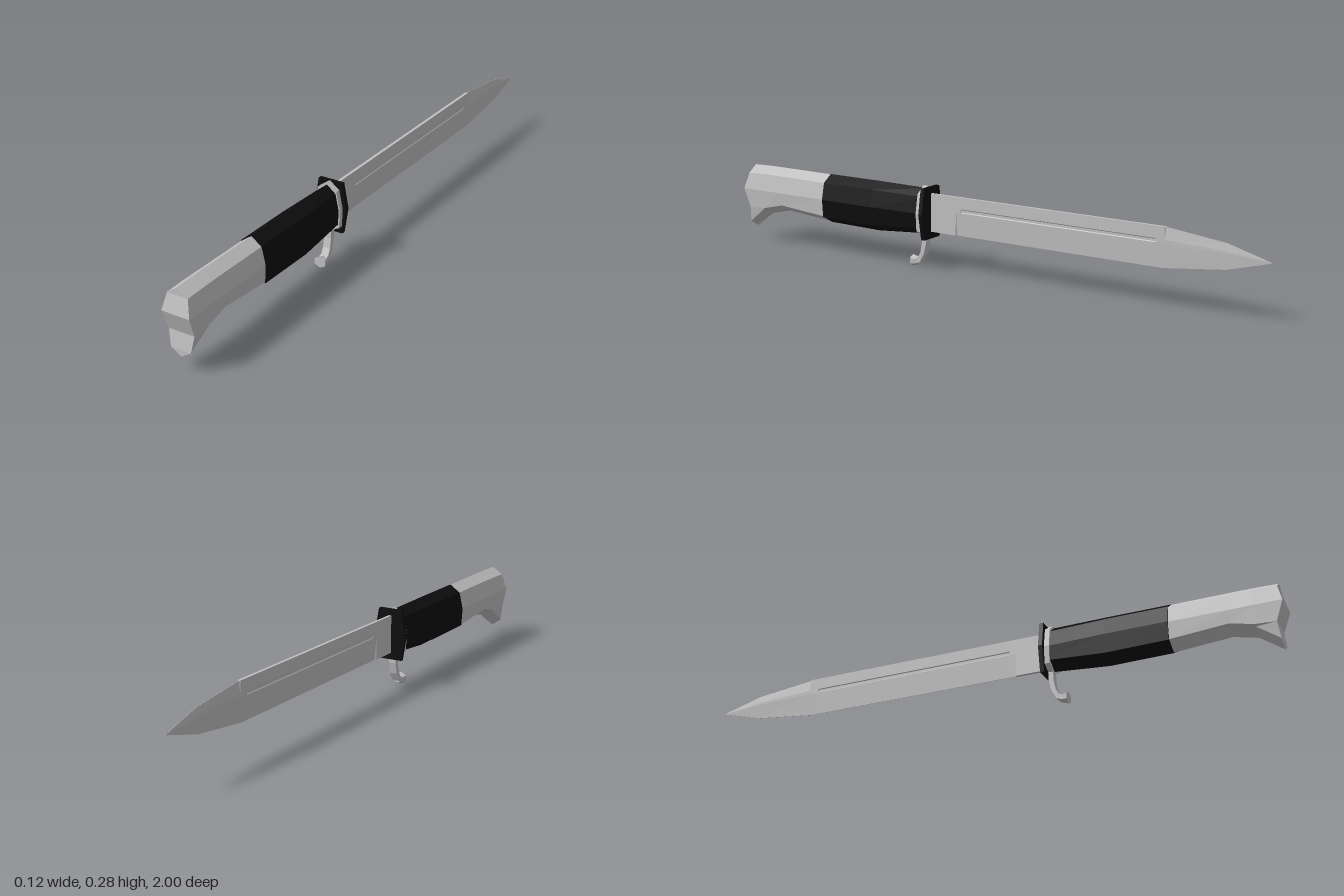
import * as THREE from 'three';

const steel = new THREE.MeshStandardMaterial({ color: 0xc0c0c0 });
steel.name = 'steel';
const black = new THREE.MeshStandardMaterial({ color: 0x0d0d0d });
black.name = 'black';

// Skins mirrored sections running from +z to -z; each lists [x, y, z] from top to bottom of one half.
function loft(sections) {
  const pos = [];
  const rings = sections.map(half => [
    ...half.map(([x, y, z]) => new THREE.Vector3(-x, y, z)),
    ...half.slice().reverse().map(([x, y, z]) => new THREE.Vector3(x, y, z)),
  ]);
  const n = rings[0].length;
  const tri = (a, b, c) => {
    const area = b.clone().sub(a).cross(c.clone().sub(a)).length();
    if (area > 1e-9) for (const p of [a, b, c]) pos.push(p.x, p.y, p.z);
  };
  const quad = (a, b, c, d) => { tri(a, b, c); tri(a, c, d); };
  for (let s = 0; s < rings.length - 1; s++) {
    for (let i = 0; i < n; i++) {
      const j = (i + 1) % n;
      quad(rings[s][i], rings[s + 1][i], rings[s + 1][j], rings[s][j]);
    }
  }
  const first = rings[0], last = rings[rings.length - 1];
  for (let i = 0; i < n / 2 - 1; i++) {
    const r = n - 1 - i;
    quad(first[i], first[i + 1], first[r - 1], first[r]);
    quad(last[i], last[r], last[r - 1], last[i + 1]);
  }
  const g = new THREE.BufferGeometry();
  g.setAttribute('position', new THREE.Float32BufferAttribute(pos, 3));
  g.computeVertexNormals();
  return g;
}

// Faceted handle section: half width w, top and bottom heights
function handleSection(z, w, top, bottom, dz = [0, 0, 0, 0, 0, 0]) {
  const low = bottom + 0.022;
  return [
    [0, top, z + dz[0]],
    [w * 0.74, top - 0.025, z + dz[1]],
    [w, 0.195, z + dz[2]],
    [w * 0.92, Math.max(low + 0.004, 0.128), z + dz[3]],
    [w * 0.72, low, z + dz[4]],
    [0, bottom, z + dz[5]],
  ];
}

// Blade section: half thickness t, edge half thickness e, groove depth d
function bladeSection(z, top, bottom, t, e, d = 0, spine = t) {
  const y = f => bottom + (top - bottom) * f;
  return [
    [spine, top, z], [t, y(0.7), z], [t - d, y(0.68), z],
    [t - d, y(0.62), z], [t, y(0.6), z], [e, bottom, z],
  ];
}

export function createModel() {
  const model = new THREE.Group();
  model.name = 'knife';
  const add = (name, geometry, material) => {
    const mesh = new THREE.Mesh(geometry, material);
    mesh.name = name;
    model.add(mesh);
    return mesh;
  };

  // Pommel with a beaked lower end and a bulged cap
  add('pommel', loft([
    handleSection(0.985, 0.049, 0.276, 0.052, [0, 0, 0.015, -0.008, 0, 0]),
    handleSection(0.91, 0.049, 0.278, 0.106),
    handleSection(0.83, 0.048, 0.278, 0.125),
    handleSection(0.64, 0.048, 0.277, 0.11),
  ]), steel);

  add('grip', loft([
    handleSection(0.64, 0.051, 0.278, 0.108),
    handleSection(0.43, 0.05, 0.278, 0.105),
    handleSection(0.22, 0.042, 0.276, 0.122),
  ]), black);

  // Steel collar around the front of the grip
  add('collar', loft([
    handleSection(0.243, 0.047, 0.284, 0.108),
    handleSection(0.226, 0.047, 0.284, 0.108),
  ]), steel);

  // Hand guard plate
  const guard = z => [[0.043, 0.281, z], [0.058, 0.195, z], [0.043, 0.107, z]];
  add('guard', loft([guard(0.224), guard(0.21)]), black);

  // Curved finger hook below the guard, drawn in the z-y plane
  const profile = new THREE.Shape([
    [0.243, 0.125], [0.226, 0.125], [0.226, 0.09], [0.236, 0.05], [0.252, 0.022],
    [0.275, 0.012], [0.275, 0.03], [0.26, 0.036], [0.25, 0.055], [0.243, 0.09],
  ].map(([z, y]) => new THREE.Vector2(z, y)));
  const hook = new THREE.ExtrudeGeometry(profile, { depth: 0.026, bevelEnabled: false });
  hook.translate(0, 0, -0.013).rotateY(-Math.PI / 2);
  add('hook', hook, steel);

  const tip = new THREE.CylinderGeometry(0.02, 0.012, 0.026, 6).toNonIndexed();
  tip.rotateX(Math.PI / 2).scale(1.15, 1, 1);
  tip.computeVertexNormals();
  add('hookTip', tip, steel).position.set(0, 0.022, 0.276);

  // Blade: square base, grooved bevelled length, double-edged point
  const t = 0.005, e = 0.0006, d = 0.002;
  add('blade', loft([
    bladeSection(0.215, 0.26, 0.13, t, t),
    bladeSection(0.112, 0.26, 0.13, t, t),
    bladeSection(0.108, 0.26, 0.13, t, e),
    bladeSection(0.09, 0.26, 0.13, t, e),
    bladeSection(0.088, 0.26, 0.13, t, e, d),
    bladeSection(-0.625, 0.26, 0.13, t, e, d),
    bladeSection(-0.627, 0.26, 0.13, t, e),
    bladeSection(-0.655, 0.26, 0.13, t, e),
    bladeSection(-0.66, 0.259, 0.131, t, e, 0, e),
    bladeSection(-0.86, 0.236, 0.155, 0.004, e, 0, e),
    bladeSection(-1, 0.197, 0.194, e, e),
  ]), steel);

  return model;
}
